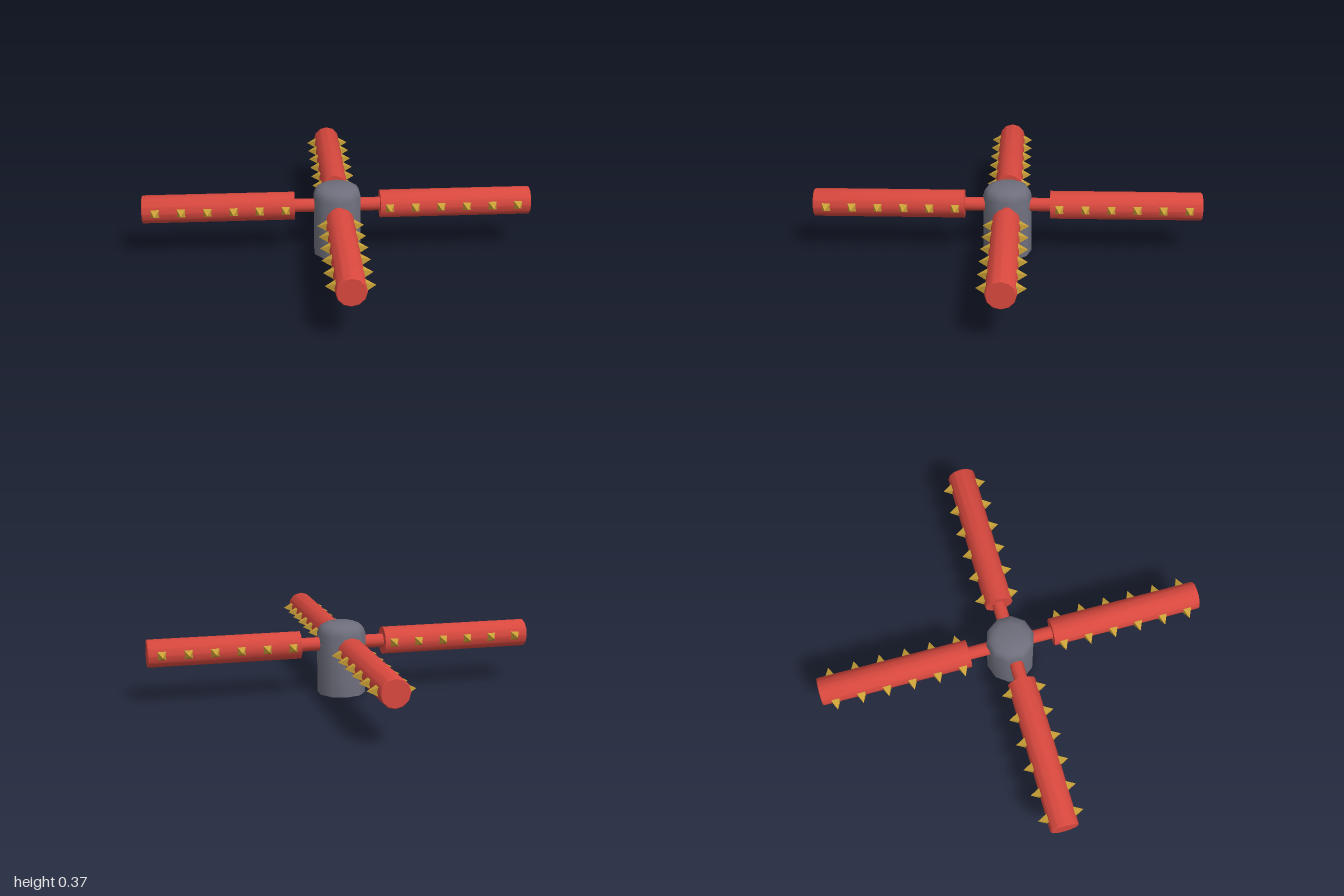
import * as THREE from 'three';
import { toCreasedNormals } from 'three/addons/utils/BufferGeometryUtils.js';

const ARM_Y = 0.262;

export function createModel() {
  const model = new THREE.Group();
  model.name = 'spikedSpinner';
  const grey = new THREE.MeshStandardMaterial({ color: 0x6e6e7c });
  const red = new THREE.MeshStandardMaterial({ color: 0xd8483e });
  const gold = new THREE.MeshStandardMaterial({ color: 0xc9a036, flatShading: true });

  const add = (parent, name, geometry, material) => {
    const mesh = new THREE.Mesh(geometry, material);
    mesh.name = name;
    parent.add(mesh);
    return mesh;
  };
  const lathe = (points, sides) => toCreasedNormals(
    new THREE.LatheGeometry(points.map(([r, y]) => new THREE.Vector2(r, y)), sides), 0.75);

  // Ten-sided central post with a domed top
  add(model, 'hub', lathe([
    [0, 0], [0.125, 0], [0.125, 0.315], [0.118, 0.338], [0.105, 0.357], [0.07, 0.372], [0, 0.372],
  ], 10), grey);

  // Arm parts, modelled along +y and laid along +x
  const barGeometry = lathe([
    [0, 0.22], [0.0725, 0.22], [0.0725, 0.995], [0.068, 1], [0, 1],
  ], 12).rotateZ(-Math.PI / 2);
  const rodGeometry = new THREE.CylinderGeometry(0.035, 0.035, 0.18, 10)
    .rotateZ(-Math.PI / 2).translate(0.15, 0, 0);

  // Square pyramid pointing to +z
  const spikeGeometry = new THREE.ConeGeometry(0.031, 0.05, 4)
    .rotateY(Math.PI / 4).rotateX(Math.PI / 2).translate(0, 0, 0.091);

  // Four arms, each with a row of spikes on both flanks
  for (let i = 0; i < 4; i++) {
    const arm = new THREE.Group();
    arm.name = `arm${i + 1}`;
    arm.position.y = ARM_Y;
    arm.rotation.y = i * Math.PI / 2;
    add(arm, 'rod', rodGeometry, red);
    add(arm, 'bar', barGeometry, red);
    for (let j = 0; j < 6; j++) {
      for (const turn of [0, Math.PI]) {
        const spike = add(arm, 'spike', spikeGeometry, gold);
        spike.position.x = 0.267 + j * 0.1328;
        spike.rotation.y = turn;
      }
    }
    model.add(arm);
  }
  return model;
}
